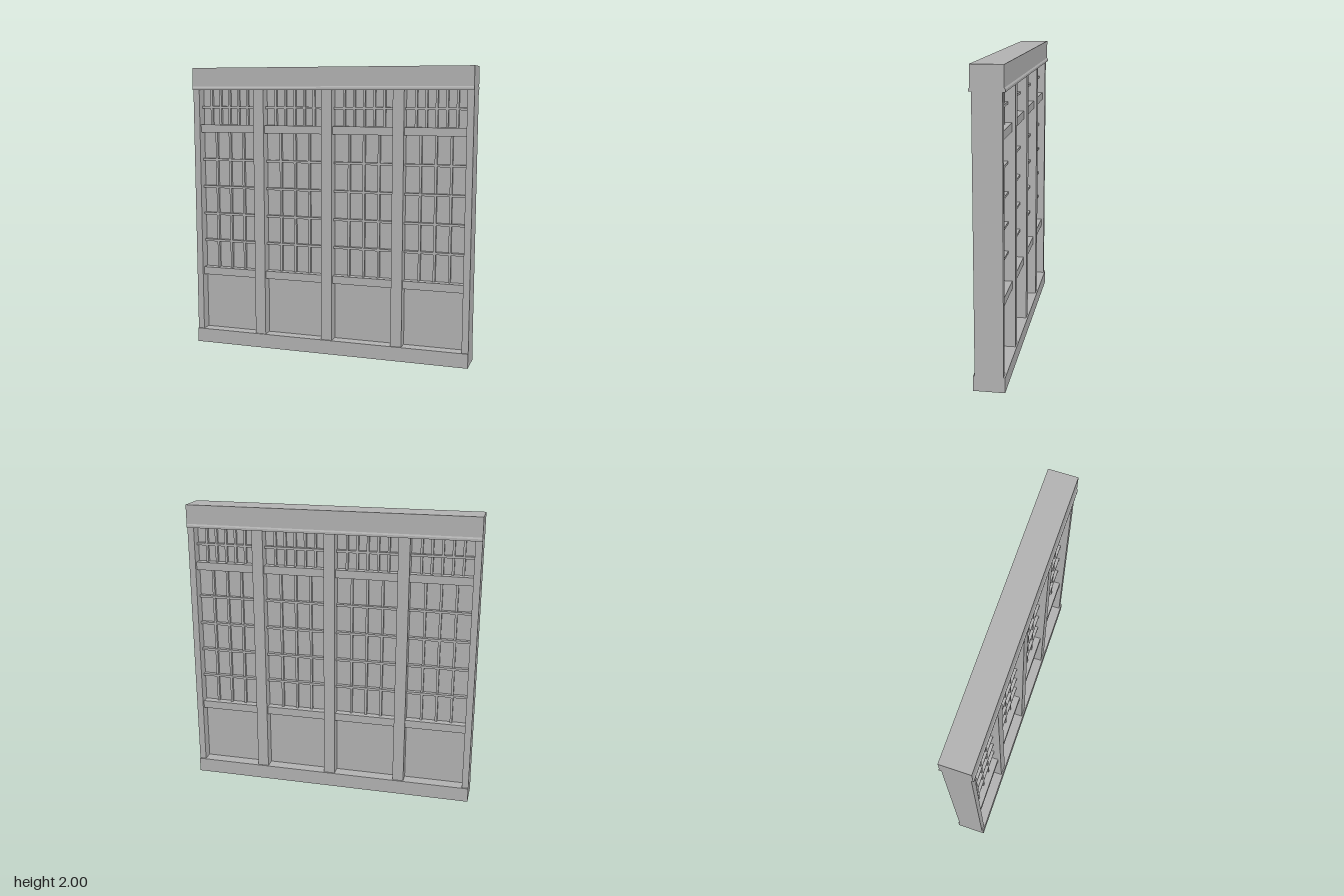
import * as THREE from 'three';

export function createModel() {
  const group = new THREE.Group();
  const gray = new THREE.MeshStandardMaterial({ color: 0xb2b2b2 });
  gray.name = 'plain gray';

  // Box given by its x and y limits and half depth
  const box = (name, x0, x1, y0, y1, halfDepth) => {
    const mesh = new THREE.Mesh(new THREE.BoxGeometry(x1 - x0, y1 - y0, halfDepth * 2), gray);
    mesh.position.set((x0 + x1) / 2, (y0 + y1) / 2, 0);
    mesh.name = name;
    group.add(mesh);
  };

  // Evenly spaced glazing bars on both faces of an opening
  const bar = 0.016;
  const lattice = (name, x0, x1, y0, y1, columns, rows) => {
    for (let i = 1; i < columns; i++) {
      const x = x0 + ((x1 - x0) * i) / columns;
      box(name + 'Upright', x - bar / 2, x + bar / 2, y0, y1, 0.036);
    }
    for (let j = 1; j < rows; j++) {
      const y = y0 + ((y1 - y0) * j) / rows;
      box(name + 'Crossbar', x0, x1, y - bar / 2, y + bar / 2, 0.045);
    }
  };

  // Sill and header beam, with a small lip under the header
  box('sill', -1, 1, 0, 0.1, 0.1);
  const s = new THREE.Shape();
  [[-0.1, 2], [-0.1, 1.87], [-0.106, 1.86], [-0.106, 1.845],
    [0.106, 1.845], [0.106, 1.86], [0.1, 1.87], [0.1, 2]].forEach(([z, y], i) =>
    i ? s.lineTo(z, y) : s.moveTo(z, y));
  const headerGeometry = new THREE.ExtrudeGeometry(s, { depth: 2, bevelEnabled: false });
  headerGeometry.translate(0, 0, -1).rotateY(Math.PI / 2);
  const header = new THREE.Mesh(headerGeometry, gray);
  header.name = 'header';
  group.add(header);

  // Posts
  const posts = [[-1, -0.955], [-0.54, -0.463], [-0.039, 0.039], [0.463, 0.54], [0.955, 1]];
  posts.forEach(([x0, x1]) => box('post', x0, x1, 0.1, 1.845, 0.09));

  // Four bays, each with a thin panel, two rails and two lattices
  for (let i = 0; i < 4; i++) {
    const x0 = posts[i][1];
    const x1 = posts[i + 1][0];
    box('panel', x0, x1, 0.1, 1.845, 0.016);
    box('lowerRail', x0, x1, 0.505, 0.56, 0.07);
    box('upperRail', x0, x1, 1.545, 1.6, 0.07);
    lattice('window', x0, x1, 0.56, 1.545, 4, 5);
    lattice('transom', x0, x1, 1.6, 1.845, 6, 2);
  }
  return group;
}
